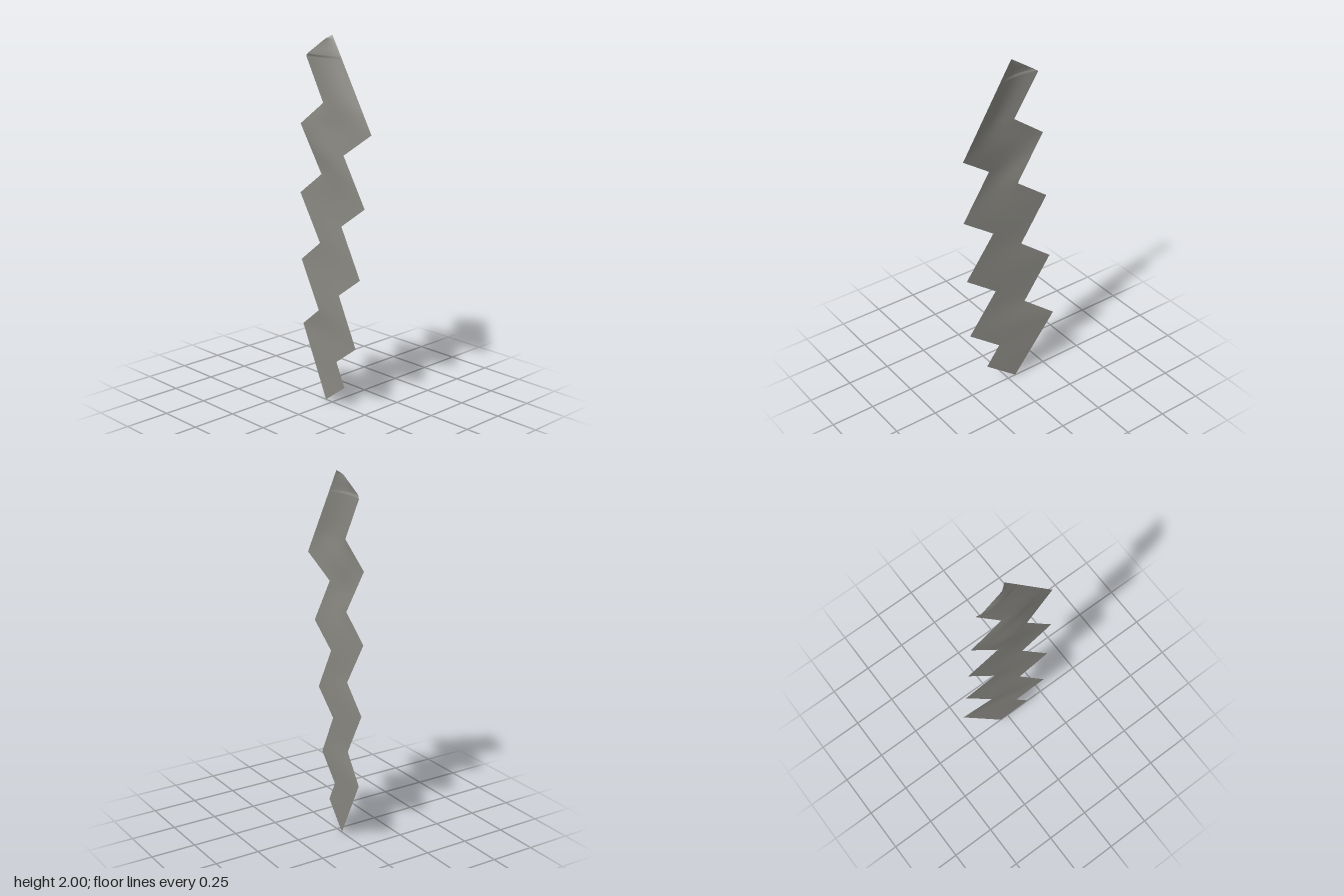
import * as THREE from 'three';

// Edge corners as [y, z, x]; both zigzag edges climb steadily from the bottom tip to the top tip
const frontEdge = [
  [0.005, -0.05, 0], [0.13, 0.125, -0.03], [0.255, 0.05, -0.018], [0.38, 0.225, -0.047],
  [0.635, 0.07, -0.02], [0.76, 0.245, -0.038], [1.015, 0.085, -0.017], [1.14, 0.265, -0.027],
  [1.395, 0.105, -0.022], [1.52, 0.28, 0.003], [2, -0.01, 0.01],
];
const backEdge = [
  [0.005, -0.05, 0], [0.38, -0.28, 0.045], [0.505, -0.11, 0.003], [0.76, -0.265, 0.021],
  [0.89, -0.09, -0.005], [1.14, -0.25, 0.002], [1.27, -0.07, -0.012], [1.52, -0.23, -0.012],
  [1.65, -0.05, -0.018], [1.88, -0.19, -0.006], [1.897, -0.165, -0.018], [1.98, -0.04, -0.012],
  [2, -0.01, 0.01],
];

// Point on an edge at height y
function edgeAt(edge, y) {
  let i = 1;
  while (i < edge.length - 1 && edge[i][0] < y) i++;
  const a = edge[i - 1], b = edge[i];
  const t = (y - a[0]) / (b[0] - a[0]);
  return { z: a[1] + (b[1] - a[1]) * t, x: a[2] + (b[2] - a[2]) * t };
}

// Sheet of horizontal rows stretched between the two edges, slightly dished near the top
function createSheet() {
  const corners = [...new Set([...frontEdge, ...backEdge].map((p) => p[0]))].sort((a, b) => a - b);
  const rows = [];
  const steps = 3;
  corners.forEach((y, i) => {
    if (i === 0) return rows.push(y);
    for (let k = 1; k <= steps; k++) rows.push(corners[i - 1] + (y - corners[i - 1]) * k / steps);
  });

  const columns = 8;
  const positions = [], indices = [];
  rows.forEach((y, r) => {
    const f = edgeAt(frontEdge, y), b = edgeAt(backEdge, y);
    const dish = 0.018 * THREE.MathUtils.smoothstep(y, 1.1, 1.55) * (1 - THREE.MathUtils.smoothstep(y, 1.88, 2));
    for (let c = 0; c <= columns; c++) {
      const t = c / columns;
      positions.push(f.x + (b.x - f.x) * t - dish * Math.sin(Math.PI * t), y, f.z + (b.z - f.z) * t);
      if (r > 0 && c > 0) {
        const p = r * (columns + 1) + c, q = p - columns - 1;
        indices.push(q - 1, q, p, q - 1, p, p - 1);
      }
    }
  });

  const geometry = new THREE.BufferGeometry();
  geometry.setAttribute('position', new THREE.Float32BufferAttribute(positions, 3));
  geometry.setIndex(indices);
  geometry.computeVertexNormals();
  return geometry;
}

export function createModel() {
  const group = new THREE.Group();
  group.name = 'zigzagRibbon';
  const warmGrey = new THREE.MeshStandardMaterial({ color: 0x8b8a84, side: THREE.DoubleSide });
  warmGrey.name = 'warm grey';
  const ribbon = new THREE.Mesh(createSheet(), warmGrey);
  ribbon.name = 'ribbon';
  group.add(ribbon);
  return group;
}
